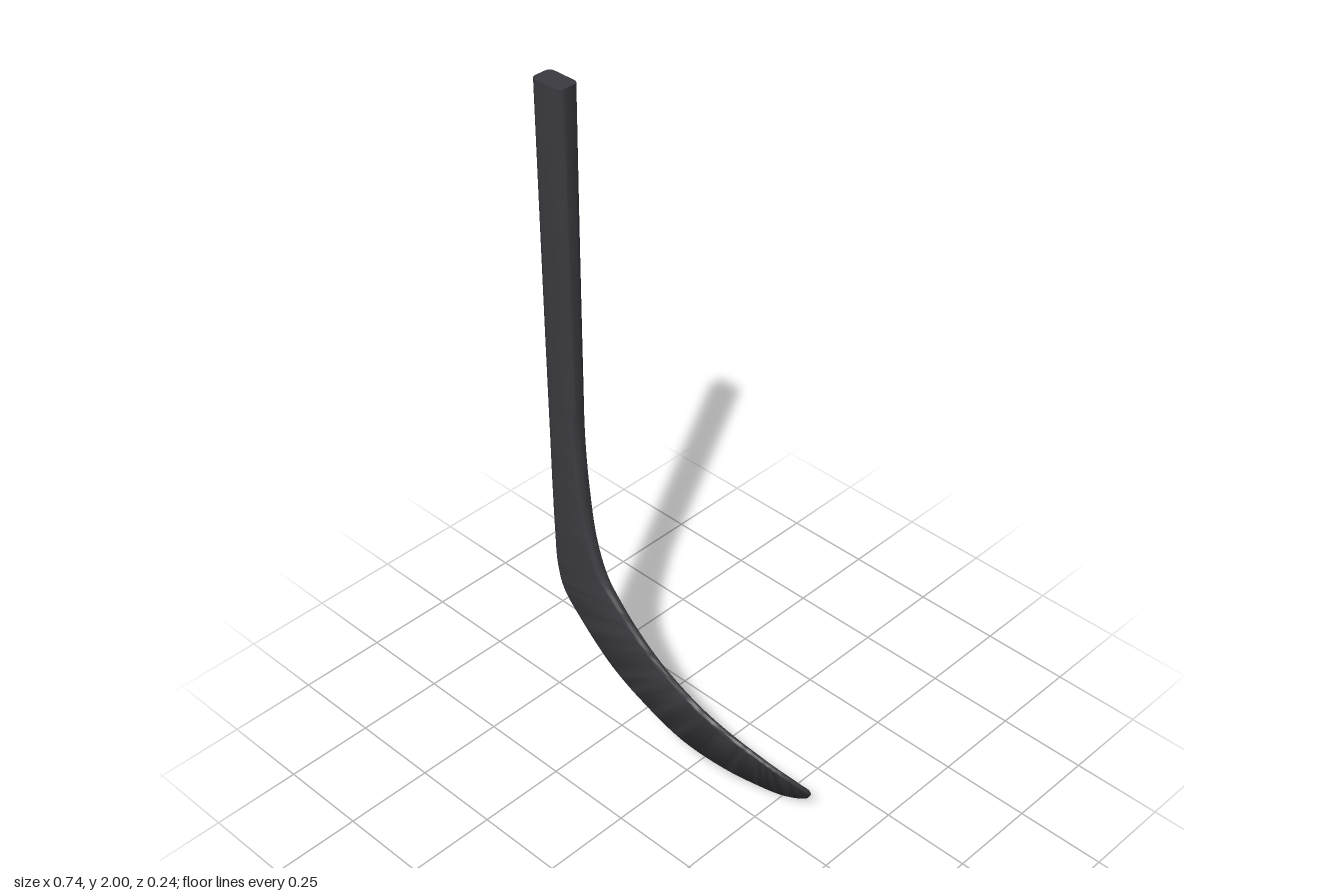
import * as THREE from 'three';
import { toCreasedNormals } from 'three/addons/utils/BufferGeometryUtils.js';

// Stations from grip to toe: outer edge x,y,z, inner edge x,y,z, thickness
const STATIONS = [
  [-0.37, 2, 0.092, -0.275, 2, 0.092, 0.06],
  [-0.37, 1.6, 0.094, -0.275, 1.6, 0.094, 0.054],
  [-0.37, 1.2, 0.095, -0.275, 1.2, 0.095, 0.049],
  [-0.37, 1.02, 0.095, -0.274, 1.02, 0.095, 0.047],
  [-0.37, 0.85, 0.096, -0.26, 0.85, 0.095, 0.044],
  [-0.37, 0.7, 0.097, -0.236, 0.71, 0.094, 0.038],
  [-0.368, 0.58, 0.097, -0.2, 0.61, 0.09, 0.032],
  [-0.352, 0.505, 0.095, -0.155, 0.548, 0.086, 0.027],
  [-0.3, 0.43, 0.09, -0.11, 0.495, 0.081, 0.023],
  [-0.2, 0.31, 0.075, -0.04, 0.425, 0.072, 0.02],
  [-0.1, 0.215, 0.049, 0.04, 0.36, 0.059, 0.018],
  [0, 0.13, 0.014, 0.12, 0.308, 0.044, 0.017],
  [0.1, 0.06, -0.038, 0.2, 0.265, 0.025, 0.016],
  [0.18, 0.018, -0.085, 0.26, 0.234, 0.007, 0.015],
  [0.24, 0.004, -0.112, 0.303, 0.209, -0.009, 0.014],
  [0.29, 0.02, -0.119, 0.336, 0.184, -0.028, 0.013],
  [0.325, 0.047, -0.113, 0.357, 0.155, -0.05, 0.012],
  [0.35, 0.076, -0.1, 0.367, 0.126, -0.073, 0.01],
  [0.362, 0.095, -0.09, 0.368, 0.108, -0.082, 0.006],
];

// Rounded rectangle outline, counter-clockwise
function sectionOutline(width, thickness) {
  const r = Math.min(0.015, thickness / 2, width / 2) * 0.98;
  const points = [];
  for (let corner = 0; corner < 4; corner++) {
    const sx = corner === 0 || corner === 3 ? 1 : -1;
    const sy = corner < 2 ? 1 : -1;
    for (let k = 0; k <= 4; k++) {
      const a = (corner + k / 4) * Math.PI / 2;
      points.push([
        sx * (width / 2 - r) + r * Math.cos(a),
        sy * (thickness / 2 - r) + r * Math.sin(a),
      ]);
    }
  }
  return points;
}

function loftStick() {
  const curve = (pick) => new THREE.CatmullRomCurve3(STATIONS.map(pick));
  const outer = curve((s) => new THREE.Vector3(s[0], s[1], s[2]));
  const inner = curve((s) => new THREE.Vector3(s[3], s[4], s[5]));
  const steps = (STATIONS.length - 1) * 5;
  const middle = (t) => outer.getPoint(t).lerp(inner.getPoint(t), 0.5);
  const positions = [];
  const indices = [];
  const sides = 20;

  for (let i = 0; i <= steps; i++) {
    const t = i / steps;
    const mid = middle(t);
    const across = inner.getPoint(t).sub(outer.getPoint(t));
    const width = across.length();
    across.normalize();
    const along = middle(Math.min(1, t + 0.005)).sub(middle(Math.max(0, t - 0.005)));
    const normal = along.cross(across).normalize();
    const f = t * (STATIONS.length - 1);
    const j = Math.min(Math.floor(f), STATIONS.length - 2);
    const thickness = THREE.MathUtils.lerp(STATIONS[j][6], STATIONS[j + 1][6], f - j);
    for (const [u, v] of sectionOutline(width, thickness)) {
      const p = mid.clone().addScaledVector(across, u).addScaledVector(normal, v);
      positions.push(p.x, p.y, p.z);
    }
  }

  // Skin between neighbouring sections
  for (let i = 0; i < steps; i++) {
    for (let k = 0; k < sides; k++) {
      const a = i * sides + k;
      const b = i * sides + (k + 1) % sides;
      indices.push(a, b, a + sides, b, b + sides, a + sides);
    }
  }

  // Flat caps at the grip end and the toe
  const last = steps * sides;
  for (let k = 1; k < sides - 1; k++) {
    indices.push(0, k + 1, k);
    indices.push(last, last + k, last + k + 1);
  }

  const geometry = new THREE.BufferGeometry();
  geometry.setAttribute('position', new THREE.Float32BufferAttribute(positions, 3));
  geometry.setIndex(indices);
  return toCreasedNormals(geometry, 0.8);
}

export function createModel() {
  const model = new THREE.Group();
  model.name = 'hockeyStick';
  // Shaft and curved blade are one continuous piece
  const material = new THREE.MeshStandardMaterial({ color: 0x3b3b41 });
  const stick = new THREE.Mesh(loftStick(), material);
  stick.name = 'shaftAndBlade';
  model.add(stick);
  return model;
}
